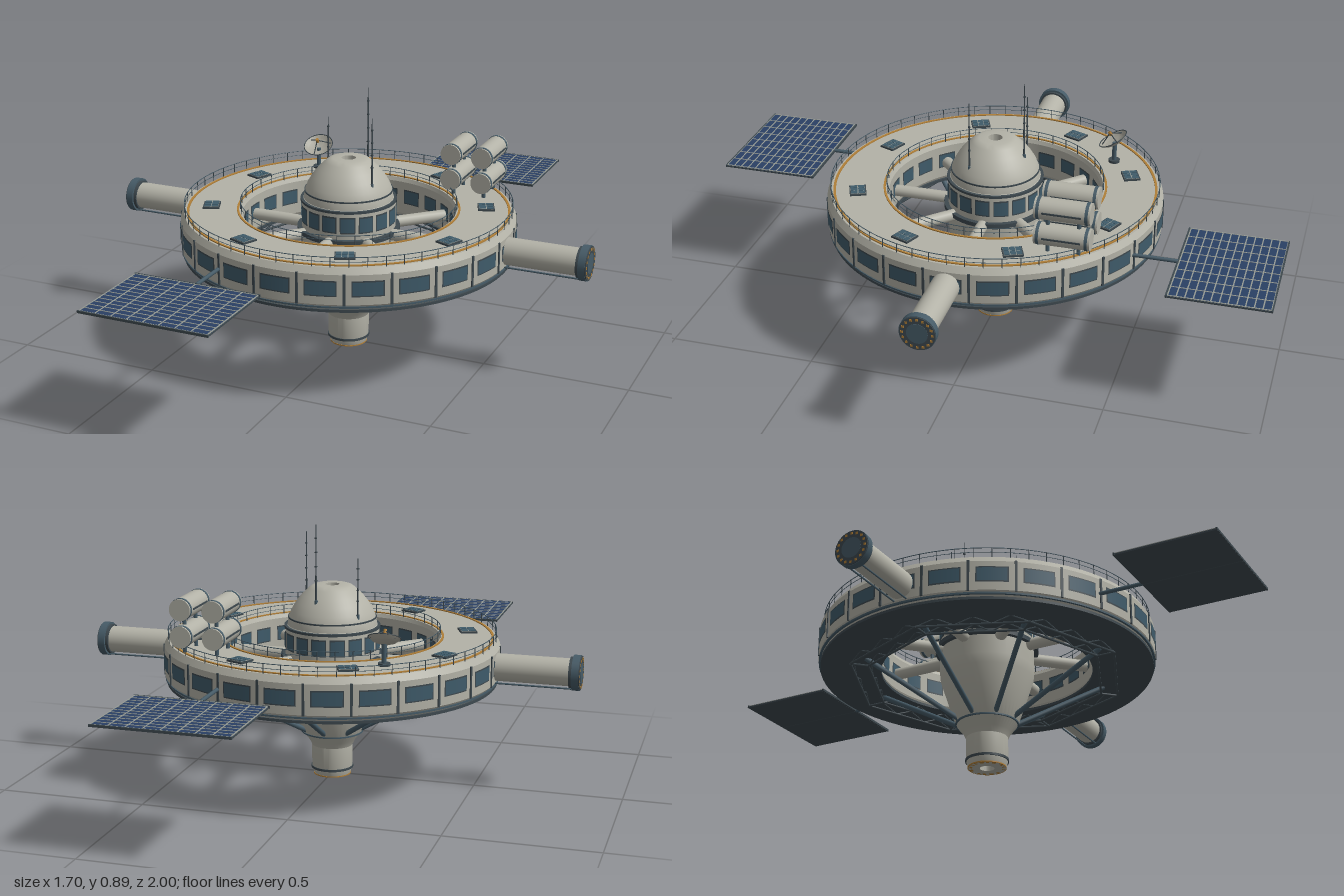
import * as THREE from 'three';
import { toCreasedNormals } from 'three/addons/utils/BufferGeometryUtils.js';

const mat = (name, color, side = THREE.FrontSide) => {
  const m = new THREE.MeshStandardMaterial({ color, side });
  m.name = name;
  return m;
};
const V = (x, y, z) => new THREE.Vector3(x, y, z);
const polar = (r, y, a) => V(r * Math.sin(a), y, r * Math.cos(a));
const TAU = Math.PI * 2;

export function createModel() {
  const hull = mat('hull grey', 0xb3b2a7);
  const steel = mat('steel blue', 0x465b67);
  const dark = mat('dark metal', 0x3e494f, THREE.DoubleSide);
  const glass = mat('window glass', 0x3f5b6a, THREE.DoubleSide);
  const solar = mat('solar blue', 0x2a4064);
  const line = mat('grid grey', 0x959a94);
  const ochre = mat('ochre trim', 0xb07f38);
  const dishGrey = mat('dish grey', 0xa9a79c, THREE.DoubleSide);

  const root = new THREE.Group();
  root.name = 'spaceStation';
  const group = (name, parent = root) => {
    const g = new THREE.Group();
    g.name = name;
    parent.add(g);
    return g;
  };
  const add = (name, geo, m, parent) => {
    const mesh = new THREE.Mesh(geo, m);
    mesh.name = name;
    parent.add(mesh);
    return mesh;
  };
  const box = (name, w, h, d, x, y, z, m, parent) => {
    const b = add(name, new THREE.BoxGeometry(w, h, d), m, parent);
    b.position.set(x, y, z);
    return b;
  };
  // Cylinder between two points
  const rod = (name, a, b, r, m, parent, sides = 6, r2 = r) => {
    const c = add(name, new THREE.CylinderGeometry(r2, r, a.distanceTo(b), sides), m, parent);
    c.position.copy(a).lerp(b, 0.5);
    c.quaternion.setFromUnitVectors(V(0, 1, 0), b.clone().sub(a).normalize());
  };
  // Turned part; the profile runs up the outside and down the inside
  const lathe = (name, pts, m, parent, seg = 48) =>
    add(name, toCreasedNormals(new THREE.LatheGeometry(pts.map(p => new THREE.Vector2(...p)), seg), 0.35), m, parent);
  const band = (name, r0, r1, y0, y1, m, parent, seg = 48) =>
    lathe(name, [[r0, y0], [r1, y0], [r1, y1], [r0, y1], [r0, y0]], m, parent, seg);
  // Curved plate on a wall of radius r
  const arc = (name, r, y, h, a, width, m, parent) => {
    const p = add(name, new THREE.CylinderGeometry(r, r, h, 4, 1, true, a - width / 2, width), m, parent);
    p.position.y = y;
  };
  const rail = (name, r, y, t, m, parent) => {
    const o = add(name, new THREE.TorusGeometry(r, t, 5, 96), m, parent);
    o.rotation.x = Math.PI / 2;
    o.position.y = y;
  };

  // Habitat ring
  const ring = group('habitatRing');
  lathe('ringHull', [[0.365, 0.35], [0.555, 0.35], [0.569, 0.37], [0.569, 0.47], [0.556, 0.491], [0.366, 0.491],
    [0.36, 0.478], [0.36, 0.36], [0.365, 0.35]], hull, ring, 96);
  band('undersidePlate', 0.357, 0.562, 0.342, 0.351, dark, ring, 96);
  band('lowerLip', 0.54, 0.568, 0.358, 0.364, steel, ring, 96);
  band('outerEdgeTrim', 0.540, 0.548, 0.490, 0.4945, ochre, ring, 96);
  band('innerEdgeTrim', 0.372, 0.379, 0.490, 0.4945, ochre, ring, 96);
  for (let i = 0; i < 24; i++) {
    const a = i * TAU / 24;
    arc('outerWindowFrame', 0.5705, 0.424, 0.053, a, 0.182, dark, ring);
    arc('outerWindow', 0.572, 0.424, 0.044, a, 0.168, glass, ring);
    arc('innerWindowFrame', 0.3585, 0.424, 0.053, a, 0.182, dark, ring);
    arc('innerWindow', 0.357, 0.424, 0.044, a, 0.164, glass, ring);
    const rib = box('ringRib', 0.008, 0.105, 0.008, 0, 0, 0, dark, ring);
    rib.position.copy(polar(0.568, 0.42, a + TAU / 48));
    rib.rotation.y = a + TAU / 48;
  }

  // Railings on both deck edges
  const rails = group('deckRailings');
  for (const [r, n] of [[0.5555, 60], [0.367, 40]]) {
    rail('topRail', r, 0.523, 0.0014, steel, rails);
    rail('middleRail', r, 0.508, 0.001, steel, rails);
    for (let i = 0; i < n; i++) {
      const a = i * TAU / n;
      rod('railPost', polar(r, 0.486, a), polar(r, 0.524, a), 0.0015, dark, rails, 4);
    }
  }

  // Deck hatches
  for (let i = 0; i < 8; i++) {
    const h = group('deckHatch');
    const a = (i + 0.5) * TAU / 8;
    h.position.copy(polar(0.466, 0.493, a));
    h.rotation.y = a;
    box('hatchFrame', 0.066, 0.008, 0.056, 0, 0, 0, dark, h);
    box('hatchGrid', 0.058, 0.003, 0.048, 0, 0.004, 0, line, h);
    for (let j = 0; j < 6; j++)
      box('hatchPane', 0.0175, 0.004, 0.022, (j % 3 - 1) * 0.0198, 0.0045, j < 3 ? -0.0125 : 0.0125, glass, h);
  }

  // Central hub with an open core
  const hub = group('hub');
  lathe('hubHull', [[0.024, 0], [0.062, 0], [0.07, 0.025], [0.07, 0.105], [0.08, 0.125], [0.104, 0.155], [0.128, 0.225],
    [0.157, 0.315], [0.16, 0.35], [0.16, 0.525], [0.152, 0.53], [0.149, 0.555], [0.139, 0.58], [0.123, 0.607],
    [0.103, 0.632], [0.079, 0.655], [0.068, 0.663], [0.055, 0.667], [0.024, 0.667], [0.024, 0]], hull, hub);
  band('hubRim', 0.15, 0.175, 0.415, 0.43, dark, hub);
  band('hubUpperBand', 0.15, 0.1635, 0.521, 0.529, dark, hub);
  band('domeSeam', 0.14, 0.1505, 0.554, 0.559, dark, hub);
  band('coneSeam', 0.095, 0.107, 0.152, 0.157, steel, hub);
  band('nozzleBand', 0.06, 0.0725, 0.022, 0.03, dark, hub);
  band('nozzleTrim', 0.05, 0.0645, 0.0, 0.004, ochre, hub);
  for (let i = 0; i < 16; i++) {
    arc('hubWindowFrame', 0.1612, 0.48, 0.058, i * TAU / 16, 0.32, dark, hub);
    arc('hubWindow', 0.1628, 0.48, 0.048, i * TAU / 16, 0.28, glass, hub);
  }

  // Spokes and slanted struts
  const spokes = group('spokes');
  for (let i = 0; i < 8; i++) {
    const a = i * TAU / 8;
    rod('spoke', polar(0.15, 0.415, a), polar(0.364, 0.415, a), 0.02, hull, spokes, 16);
    rod('strut', polar(0.095, 0.163, a), polar(0.42, 0.344, a), 0.009, steel, spokes, 8);
  }

  // Zigzag truss under the ring
  const truss = group('truss');
  for (let i = 0; i < 8; i++) {
    const a = i * TAU / 8, b = a + TAU / 8;
    for (const r of [0.47, 0.41]) {
      const p = polar(r, 0.318, a), q = polar(r, 0.318, b);
      rod('lowerChord', p, q, 0.004, dark, truss);
      const up = V(0, 0.026, 0);
      for (let j = 0; j < 6; j++) {
        const s = p.clone().lerp(q, j / 6), e = p.clone().lerp(q, (j + 1) / 6);
        (j % 2 ? s : e).add(up);
        rod('diagonal', s, e, 0.0026, dark, truss, 5);
      }
    }
    rod('crossChord', polar(0.41, 0.318, a), polar(0.47, 0.318, a), 0.004, dark, truss);
  }

  // Docking arms
  for (const s of [1, -1]) {
    const arm = group(s > 0 ? 'leftDockingArm' : 'rightDockingArm');
    const seg = (name, x0, x1, r, m) => rod(name, V(s * x0, 0.42, 0), V(s * x1, 0.42, 0), r, m, arm, 32);
    seg('armTube', 0.55, 0.83, 0.046, hull);
    seg('portNeck', 0.812, 0.822, 0.052, dark);
    seg('portRing', 0.822, 0.846, 0.059, steel);
    seg('portRim', 0.846, 0.849, 0.057, dark);
    seg('portHatch', 0.848, 0.85, 0.034, steel);
    for (let i = 0; i < 16; i++) {
      const a = i * TAU / 16;
      box('portMarker', 0.002, 0.008, 0.008, s * 0.849, 0.42 + 0.048 * Math.cos(a), 0.048 * Math.sin(a), ochre, arm);
    }
    for (const z of [-0.022, 0.022])
      rod('serviceRail', V(s * 0.56, 0.37, z), V(s * 0.82, 0.37, z), 0.003, steel, arm);
  }

  // Solar wings
  for (const s of [1, -1]) {
    const wing = group(s > 0 ? 'frontSolarWing' : 'backSolarWing');
    wing.rotation.y = s > 0 ? 0 : Math.PI;
    rod('boom', V(-0.22, 0.42, 0.5), V(-0.22, 0.42, 0.67), 0.0065, steel, wing, 10);
    rod('boomSpine', V(-0.22, 0.417, 0.67), V(-0.22, 0.417, 0.995), 0.0035, dark, wing);
    box('panelBacking', 0.44, 0.005, 0.326, -0.22, 0.418, 0.835, dark, wing);
    box('solarCells', 0.436, 0.003, 0.324, -0.22, 0.4215, 0.835, solar, wing);
    for (const z of [0.6695, 0.9975]) box('panelEdge', 0.444, 0.008, 0.005, -0.22, 0.42, z, dark, wing);
    for (let i = 0; i <= 8; i++)
      box('cellColumnLine', 0.004, 0.002, 0.322, -0.437 + i * 0.05425, 0.423, 0.835, line, wing);
    for (let i = 0; i <= 12; i++)
      box('cellRowLine', 0.434, 0.002, 0.004, -0.22, 0.423, 0.675 + i * 0.0267, line, wing);
  }

  // Storage tanks
  const tanks = group('storageTanks');
  for (const x of [0.275, 0.386]) {
    for (const y of [0.551, 0.641]) {
      rod('tank', V(x, y, -0.42), V(x, y, -0.24), 0.036, hull, tanks, 28);
      for (const z of [-0.413, -0.257])
        rod('tankBand', V(x, y, z), V(x, y, z + 0.01), 0.0372, steel, tanks, 28);
      for (const s of [-1, 1]) box('tankStrip', 0.004, 0.006, 0.125, x + s * 0.036, y, -0.33, dark, tanks);
    }
    for (const z of [-0.38, -0.28]) rod('tankPost', V(x, 0.485, z), V(x, 0.62, z), 0.007, steel, tanks, 8);
  }

  // Dish antenna
  const mount = group('dishAntenna');
  rod('dishMast', V(-0.275, 0.485, -0.352), V(-0.275, 0.565, -0.352), 0.008, steel, mount, 10);
  rod('dishFoot', V(-0.275, 0.488, -0.352), V(-0.275, 0.5, -0.352), 0.02, dark, mount, 16);
  const dish = group('dishHead', mount);
  dish.position.set(-0.275, 0.56, -0.356);
  dish.rotation.set(0.5, 0, -0.04);
  lathe('dishBowl', [[0, 0], [0.02, 0.003], [0.038, 0.01], [0.052, 0.022]], dishGrey, dish, 32);
  rail('dishLip', 0.052, 0.022, 0.0016, dark, dish);
  for (let i = 0; i < 3; i++) rod('feedLeg', polar(0.045, 0.016, i * TAU / 3), V(0, 0.045, 0), 0.002, dark, dish, 5);
  rod('feedHorn', V(0, 0.036, 0), V(0, 0.05, 0), 0.006, ochre, dish, 8);

  // Whip antennas on the dome
  const masts = group('whipAntennas');
  for (const [x, z, y0, y1] of [[0.025, -0.106, 0.605, 0.886], [-0.112, -0.08, 0.56, 0.775], [0.11, 0.058, 0.58, 0.832]]) {
    rod('whip', V(x, y0, z), V(x, y1, z), 0.0032, dark, masts, 6, 0.0015);
    rod('whipBase', V(x, y0, z), V(x, y0 + 0.025, z), 0.006, steel, masts, 8);
    for (let k = 1; k < 5; k++) {
      const y = y0 + (y1 - y0) * (0.15 + k * 0.17);
      rod('whipCollar', V(x, y, z), V(x, y + 0.004, z), 0.0045, dark, masts, 6);
    }
  }
  return root;
}
